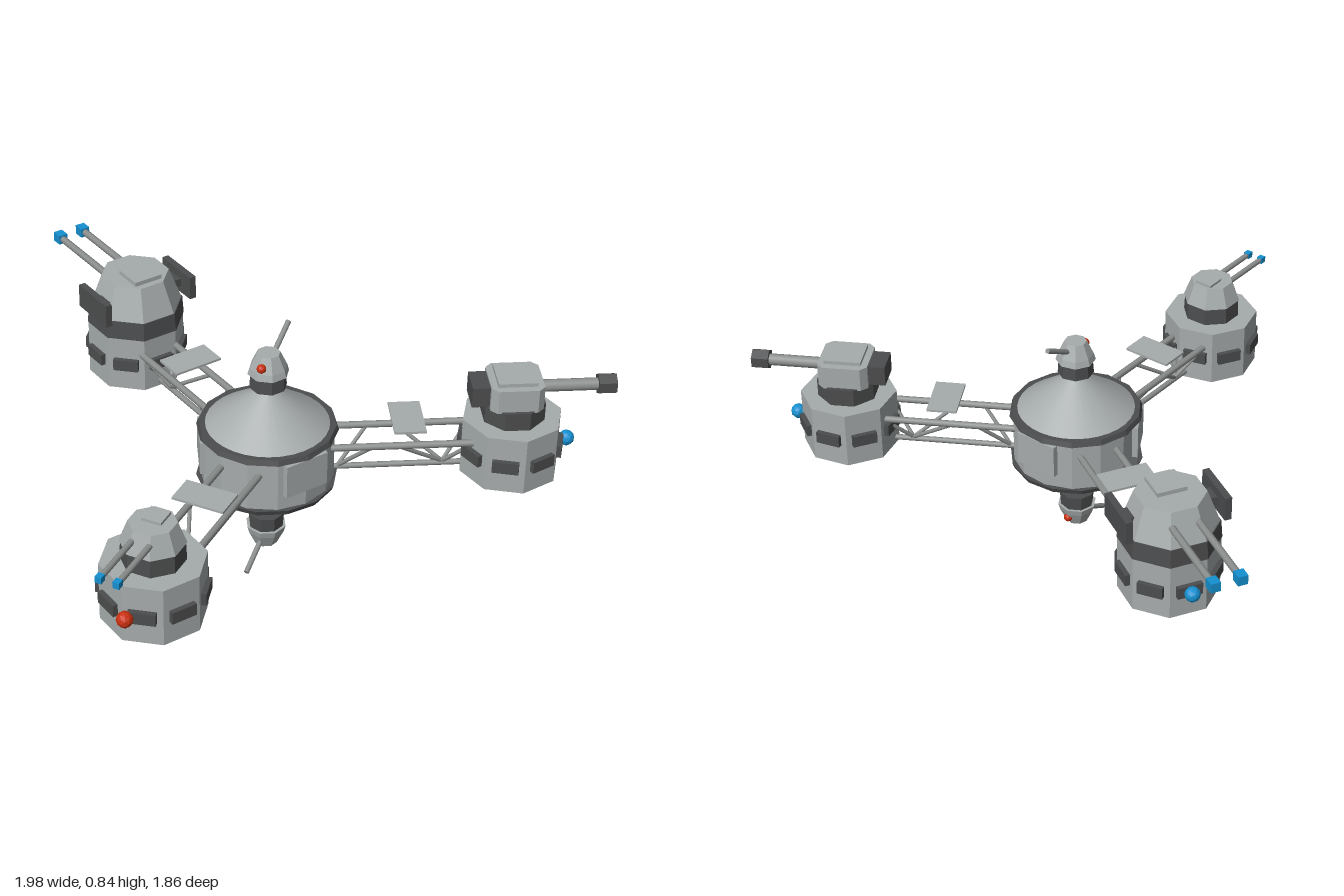
import * as THREE from 'three';

const mat = (name, color, extra = {}) => {
  const m = new THREE.MeshStandardMaterial({ color, ...extra });
  m.name = name;
  return m;
};

export function createModel() {
  const light = mat('hull grey', 0xa6abab, { flatShading: true });
  const smooth = mat('hull grey smooth', 0xa6abab);
  const dark = mat('dark grey', 0x4c4d4e, { flatShading: true });
  const pipe = mat('pipe grey', 0x8b8f8d);
  const blue = mat('signal blue', 0x1590d0, { flatShading: true });
  const red = mat('signal red', 0xc93010, { flatShading: true });

  const add = (parent, name, geo, material, x = 0, y = 0, z = 0) => {
    const m = new THREE.Mesh(geo, material);
    m.name = name;
    m.position.set(x, y, z);
    parent.add(m);
    return m;
  };
  const group = (parent, name, x = 0, y = 0, z = 0) => {
    const g = new THREE.Group();
    g.name = name;
    g.position.set(x, y, z);
    parent.add(g);
    return g;
  };
  const box = (w, h, d) => new THREE.BoxGeometry(w, h, d);
  // Octagonal frustum measured across its flats, spanning y0 to y1
  const octagon = (top, bottom, y0, y1) => {
    const c = Math.cos(Math.PI / 8);
    return new THREE.CylinderGeometry(top / c, bottom / c, y1 - y0, 8)
      .rotateY(Math.PI / 8).translate(0, (y0 + y1) / 2, 0);
  };
  // Straight tube between two points
  const rod = (parent, name, a, b, r, material = pipe, sides = 8) => {
    const A = new THREE.Vector3(...a), B = new THREE.Vector3(...b);
    const d = B.clone().sub(A);
    const m = add(parent, name, new THREE.CylinderGeometry(r, r, d.length(), sides), material);
    m.position.copy(A).add(B).multiplyScalar(0.5);
    m.quaternion.setFromUnitVectors(new THREE.Vector3(0, 1, 0), d.normalize());
    return m;
  };

  const model = new THREE.Group();
  model.name = 'spaceStation';
  const station = group(model, 'station', -0.01, 0, 0.325);
  const MID = 0.422;

  // Central hub: drum with two rims, cones and small turrets
  const hub = group(station, 'hub', 0, MID, 0);
  add(hub, 'drum', new THREE.CylinderGeometry(0.222, 0.222, 0.19, 14), light);
  for (let i = 0; i < 3; i++) {
    const side = group(hub, 'drumPanelMount');
    side.rotation.y = i * Math.PI * 2 / 3;
    add(side, 'drumPanel', box(0.16, 0.12, 0.02), light, 0, 0.025, 0.217);
  }
  for (const upper of [true, false]) {
    const half = group(hub, upper ? 'upperHalf' : 'lowerHalf');
    // Half turn about the axis square to the barrel
    if (!upper) half.quaternion.setFromAxisAngle(new THREE.Vector3(0.5, 0, 0.866), Math.PI);
    add(half, 'rim', new THREE.CylinderGeometry(0.228, 0.235, 0.018, 14), dark, 0, 0.099, 0);
    add(half, 'cone', new THREE.ConeGeometry(0.207, 0.15, 32), smooth, 0, 0.182, 0);
    add(half, 'smallTurretNeck', octagon(0.054, 0.058, 0.25, 0.308), dark);
    add(half, 'smallTurretBase', octagon(0.058, 0.064, 0.302, 0.325), light);
    add(half, 'smallTurretCap', octagon(0.036, 0.058, 0.325, 0.376), light);
    rod(half, 'smallTurretBarrel', [0.026, 0.345, -0.015], [0.132, 0.41, -0.076], 0.009);
    add(half, 'smallTurretLamp', new THREE.IcosahedronGeometry(0.016, 1), red, -0.045, 0.343, 0.026);
  }

  // Octagonal cap with hatch and twin barrels; s is its size
  const twinTurret = (pod, s, neckWidth, panels) => {
    const t = group(pod, 'twinTurret');
    const y = 0.588, h = 0.115 * s;
    add(t, 'turretNeck', octagon(neckWidth * 0.97, neckWidth, 0.522, y), dark);
    add(t, 'turretCap', octagon(0.11 * s, 0.15 * s, y, y + h), light);
    add(t, 'turretHatch', box(0.105 * s, 0.03 * s, 0.105 * s), light, 0, y + h, -0.035 * s);
    for (const x of [-0.046 * s, 0.046 * s]) {
      const by = y + 0.56 * h;
      rod(t, 'barrel', [x, by, 0.08 * s], [x, by, 0.43 * s], 0.0125 * Math.sqrt(s));
      add(t, 'barrelTip', box(0.034 * s, 0.034 * s, 0.038 * s), blue, x, by, 0.433 * s);
    }
    if (panels) for (const x of [-0.172, 0.172])
      add(t, 'sidePanel', box(0.024, 0.085, 0.178), dark, x, 0.633, -0.015);
    if (panels) add(t, 'panelAxle', box(0.33, 0.03, 0.06), dark, 0, 0.63, -0.015);
  };

  // Square turret with rear block and one heavy barrel
  const cannonTurret = (pod) => {
    const t = group(pod, 'cannonTurret');
    add(t, 'turretNeck', octagon(0.1, 0.1, 0.522, 0.59), dark);
    const c = 0.088, k = 0.066;
    const outline = new THREE.Shape([[c, -k], [c, k], [k, c], [-k, c], [-c, k], [-c, -k], [-k, -c], [k, -c]]
      .map(p => new THREE.Vector2(...p)));
    const body = new THREE.ExtrudeGeometry(outline, { depth: 0.085, bevelEnabled: false }).rotateX(-Math.PI / 2);
    add(t, 'turretBody', body, light, 0, 0.585, 0);
    add(t, 'turretHatch', box(0.125, 0.02, 0.13), light, 0, 0.673, 0);
    add(t, 'rearBlock', box(0.105, 0.072, 0.06), dark, 0, 0.627, -0.117);
    rod(t, 'heavyBarrel', [0, 0.632, 0.07], [0, 0.632, 0.29], 0.021);
    rod(t, 'muzzle', [0, 0.632, 0.275], [0, 0.632, 0.335], 0.036, dark, 6);
  };

  // Three arms, each with a truss, a plate and a pod
  const arms = [
    { name: 'leftArm', angle: Math.PI / 3, lamp: blue, turret: cannonTurret },
    { name: 'rightArm', angle: -Math.PI / 3, lamp: red, turret: p => twinTurret(p, 0.64, 0.095, false) },
    { name: 'rearArm', angle: Math.PI, lamp: blue, turret: p => twinTurret(p, 1, 0.158, true) },
  ];
  const OUT = 0.81;
  for (const { name, angle, lamp, turret } of arms) {
    const arm = group(station, name);
    arm.rotation.y = angle;

    // Two upper rails, one lower rail and zigzag struts
    for (const x of [-0.066, 0.066]) {
      rod(arm, 'upperRail', [x, 0.46, 0.19], [x, 0.46, OUT - 0.1], 0.012);
      const zig = [[0.235, 0.345], [0.335, 0.455], [0.435, 0.455], [0.585, 0.348], [0.675, 0.455]];
      for (const i of [0, 2, 3]) {
        const [a, b] = [zig[i], zig[i + 1]];
        const at = p => [p[1] > 0.4 ? x : 0, p[1], p[0]];
        rod(arm, 'strut', at(a), at(b), 0.007);
      }
    }
    rod(arm, 'lowerRail', [0, 0.342, 0.19], [0, 0.342, OUT - 0.1], 0.01);
    add(arm, 'armPlate', box(0.18, 0.008, 0.106), light, 0, 0.525, 0.461);

    // Pod with windows that stay square to the station
    const pod = group(arm, 'pod', 0, 0, OUT);
    const hull = group(pod, 'podHull');
    hull.rotation.y = -angle;
    add(hull, 'podBody', octagon(0.156, 0.156, 0.32, 0.525), light);
    add(hull, 'podBasePlate', box(0.135, 0.016, 0.17), light, 0, 0.32, 0);
    for (let i = 0; i < 8; i++) {
      const mount = group(hull, 'podWindowMount');
      mount.rotation.y = i * Math.PI / 4;
      add(mount, 'podWindow', box(0.088, 0.042, 0.03), dark, 0, MID, 0.158);
    }
    add(pod, 'podLamp', new THREE.IcosahedronGeometry(0.027, 1), lamp, 0, MID, 0.188);
    turret(pod);
  }
  return model;
}
